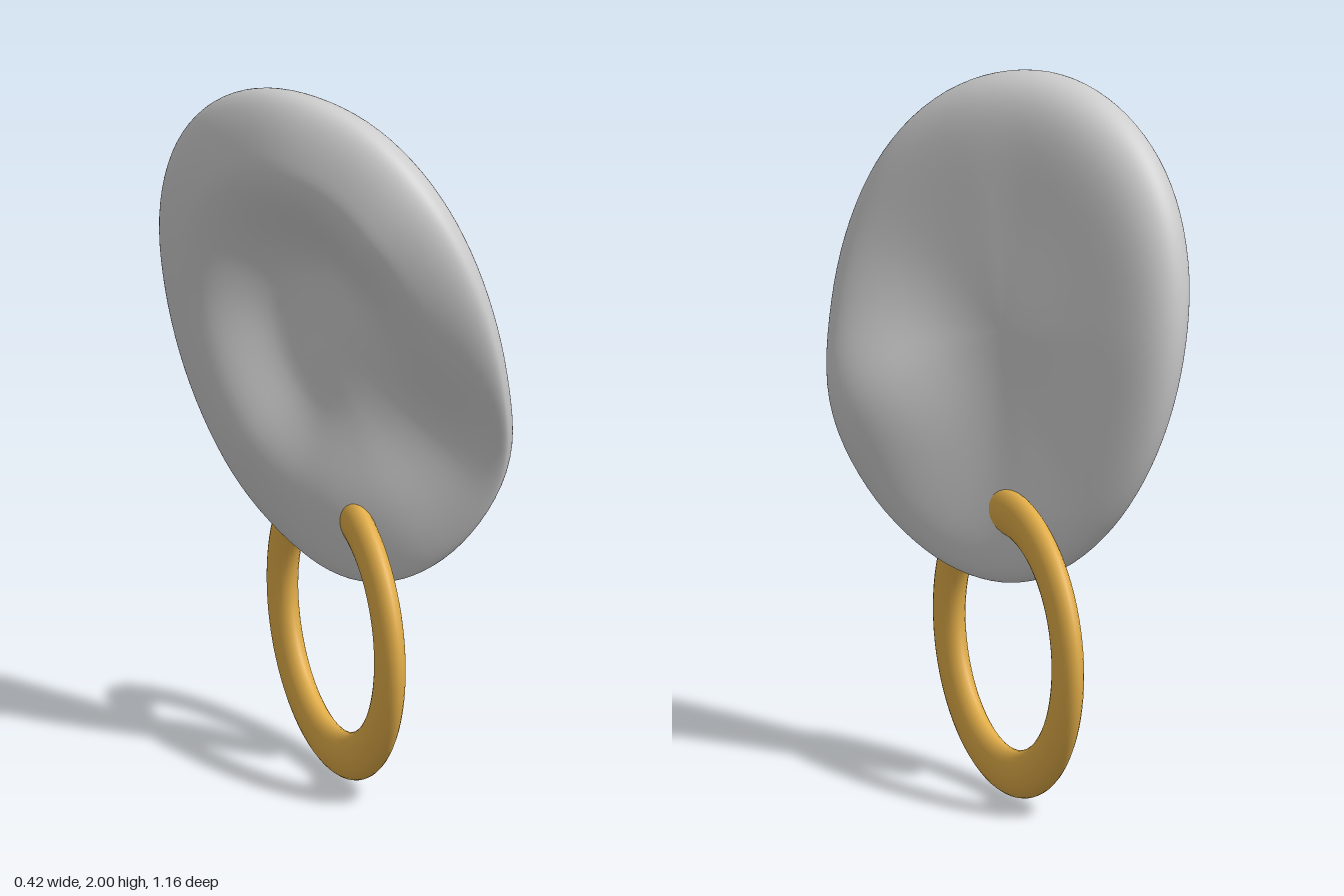
import * as THREE from 'three';
import { mergeVertices } from 'three/addons/utils/BufferGeometryUtils.js';

// Sideways position of the petal's rim, every 22.5 degrees from the front edge over the top
const rimOffsets = [
  0.045, 0.0, -0.04, -0.08, -0.12, -0.13, -0.125, -0.1,
  -0.065, -0.04, -0.02, 0.0, 0.01, 0.04, 0.075, 0.085];
const rimCurve = new THREE.CatmullRomCurve3(
  rimOffsets.map((x) => new THREE.Vector3(x, 0, 0)), true, 'catmullrom', 0.5);

// Warped egg-shaped disc: smooth on +x, a fat lip around a hollow on -x
function petalGeometry() {
  const geo = new THREE.SphereGeometry(1, 96, 64);
  const pos = geo.attributes.position;
  for (let i = 0; i < pos.count; i++) {
    const a = pos.getX(i), side = pos.getY(i), b = pos.getZ(i);
    const r = Math.min(1, Math.hypot(a, b));
    const angle = Math.atan2(b, a);
    const s = Math.sin(angle), c = Math.cos(angle);

    // outline of the disc, a little narrower at the bottom
    const z = r * (0.576 * c * (1 + 0.06 * s) - 0.04 * s);
    const y = 1.292 + r * 0.708 * s;

    // twisted middle sheet, running from the centre out to the rim curve
    const t = (angle / (2 * Math.PI) + 1) % 1;
    const sheet = THREE.MathUtils.lerp(-0.025, rimCurve.getPoint(t).x, r ** 1.5);
    // the lower front is pushed out towards +x
    const push = 0.05 * Math.exp(-(((z - 0.35) / 0.2) ** 2) - ((y - 1.07) / 0.22) ** 2);

    // the lip of the hollow fades out towards the lower front
    const fade = (1 - 0.75 * Math.max(0, Math.cos(angle + 0.75))) * (1 + 0.2 * s);
    const lip = 0.13 * fade * THREE.MathUtils.smoothstep(r, 0.25, 0.75);
    const swell = side > 0
      ? (0.042 + 0.125 * r ** 3) * (1 + 0.3 * r * s)
      : 0.025 + lip;
    pos.setXYZ(i, sheet + push + side * swell, y, z);
  }
  geo.deleteAttribute('uv');
  geo.deleteAttribute('normal');
  const merged = mergeVertices(geo, 1e-4);
  merged.computeVertexNormals();
  return merged;
}

export function createModel() {
  const group = new THREE.Group();

  const petal = new THREE.Mesh(petalGeometry(),
    new THREE.MeshStandardMaterial({ color: 0xcccccc }));
  petal.name = 'petal';
  group.add(petal);

  // Flattened, slightly oval ring threaded through the lower end of the petal
  const ring = new THREE.Mesh(new THREE.TorusGeometry(0.363, 0.066, 24, 80),
    new THREE.MeshStandardMaterial({ color: 0xe0ac48 }));
  ring.name = 'ring';
  ring.scale.set(1.025, 1, 0.56);
  ring.rotation.y = 1.18;
  ring.position.set(0.028, 0.431, -0.035);
  group.add(ring);

  return group;
}
